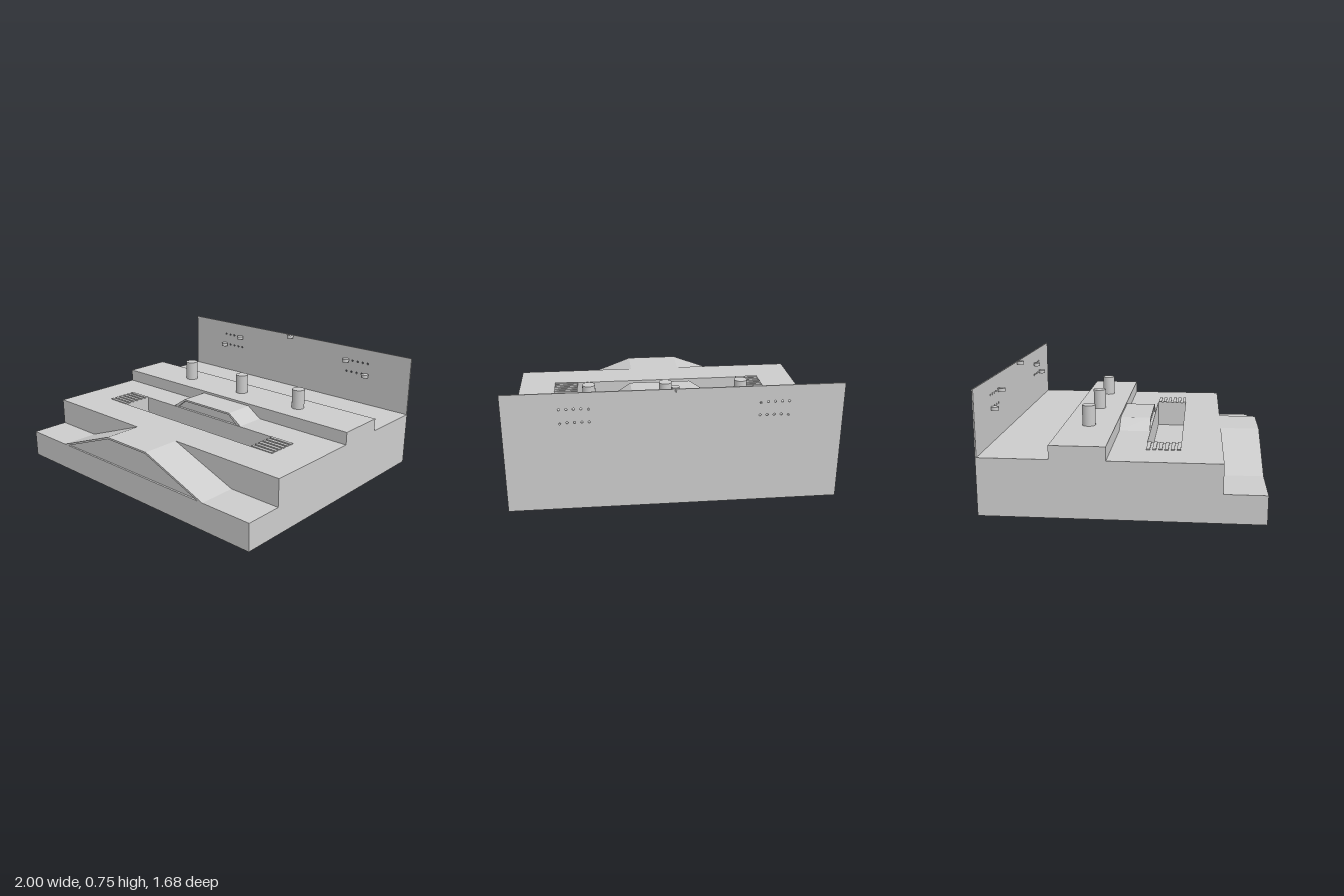
import * as THREE from 'three';

const material = new THREE.MeshStandardMaterial({ color: 0xcccccc, side: THREE.DoubleSide });

export function createModel() {
  const model = new THREE.Group();

  const add = (name, geometry, x = 0, y = 0, z = 0) => {
    const mesh = new THREE.Mesh(geometry, material);
    mesh.name = name;
    mesh.position.set(x, y, z);
    model.add(mesh);
    return mesh;
  };
  // Box given by its limits on each axis
  const block = (name, x0, x1, y0, y1, z0, z1) =>
    add(name, new THREE.BoxGeometry(x1 - x0, y1 - y0, z1 - z0),
      (x0 + x1) / 2, (y0 + y1) / 2, (z0 + z1) / 2);
  const outline = (points) => new THREE.Shape(points.map(([x, y]) => new THREE.Vector2(x, y)));
  // Shape in x and y, pushed from z0 to z1
  const slab = (name, shape, z0, z1) =>
    add(name, new THREE.ExtrudeGeometry(shape, { depth: z1 - z0, bevelEnabled: false, curveSegments: 6 }), 0, 0, z0);

  const stepY = 0.175, deckY = 0.352, stageY = 0.435;
  const wallFront = -0.822, wallBack = -0.83, front = 0.84, deckFront = 0.59;

  // Base, whose front strip is the low step
  block('base', -1, 1, 0, stepY, wallFront, front);

  // Main deck with the sunken pit
  const deck = outline([[-1, -deckFront], [1, -deckFront], [1, -wallFront], [-1, -wallFront]]);
  deck.holes.push(outline([[-0.585, -0.34], [-0.585, -0.13], [0.585, -0.13], [0.585, -0.34]]));
  const deckGeometry = new THREE.ExtrudeGeometry(deck, { depth: deckY - stepY, bevelEnabled: false });
  deckGeometry.rotateX(-Math.PI / 2);
  add('deck', deckGeometry, 0, stepY, 0);

  // Raised stage
  block('stage', -1, 1, deckY, stageY, -0.405, -0.075);

  // Sloped crossings: a thin plate over a slightly recessed filling
  const crossing = (name, foot, top, y0, y1, z0, z1) => {
    const t = 0.012;
    const plate = outline([[-foot, y0], [-foot + t * 3, y0], [-top + t / 3, y1 - t], [top - t / 3, y1 - t],
      [foot - t * 3, y0], [foot, y0], [top, y1], [-top, y1]]);
    slab(name + 'Plate', plate, z0, z1);
    const fill = outline([[-foot + t, y0], [foot - t, y0], [top, y1 - t / 2], [-top, y1 - t / 2]]);
    slab(name + 'Filling', fill, z0, z1 - 0.012);
  };
  crossing('frontRamp', 0.65, 0.18, stepY, deckY, deckFront, front);
  crossing('stageRamp', 0.31, 0.21, deckY, 0.42, -0.075, 0.125);

  // Thin slats at both ends of the pit
  for (const side of [-1, 1]) {
    for (let i = 0; i < 6; i++) {
      const slat = block('slat', -0.0825, 0.0825, deckY, deckY + 0.006, -0.011, 0.011);
      slat.position.x = side * 0.6675;
      slat.position.z = 0.145 + i * 0.037;
    }
  }

  // Posts on the stage
  for (const x of [-0.5, 0, 0.5]) {
    add('post', new THREE.CylinderGeometry(0.042, 0.042, 0.13, 32), x, stageY + 0.065, -0.245);
  }

  // Back wall with rows of peg holes
  const wall = outline([[-1, 0], [1, 0], [1, 0.75], [-1, 0.75]]);
  const hole = (x, y) => {
    const path = new THREE.Path();
    path.absarc(x, y, 0.007, 0, Math.PI * 2, true);
    wall.holes.push(path);
  };
  for (const side of [-1, 1]) {
    for (let i = 0; i < 4; i++) {
      hole(side * (0.67 - i * 0.042), 0.65);
      hole(side * (0.625 - i * 0.042), 0.567);
    }
  }
  slab('backWall', wall, wallBack, wallFront);

  // Round knobs on the wall, each with a pin through to the back
  const knobs = [[0, 0.742], [-0.5, 0.65], [0.5, 0.65], [-0.667, 0.567], [0.667, 0.567]];
  for (const [x, y] of knobs) {
    add('knob', new THREE.CylinderGeometry(0.024, 0.024, 0.023, 24), x, y, -0.798);
    const pin = add('knobPin', new THREE.CylinderGeometry(0.006, 0.006, 0.03, 10), x, y - 0.003, -0.827);
    pin.rotation.x = Math.PI / 2;
  }

  return model;
}
